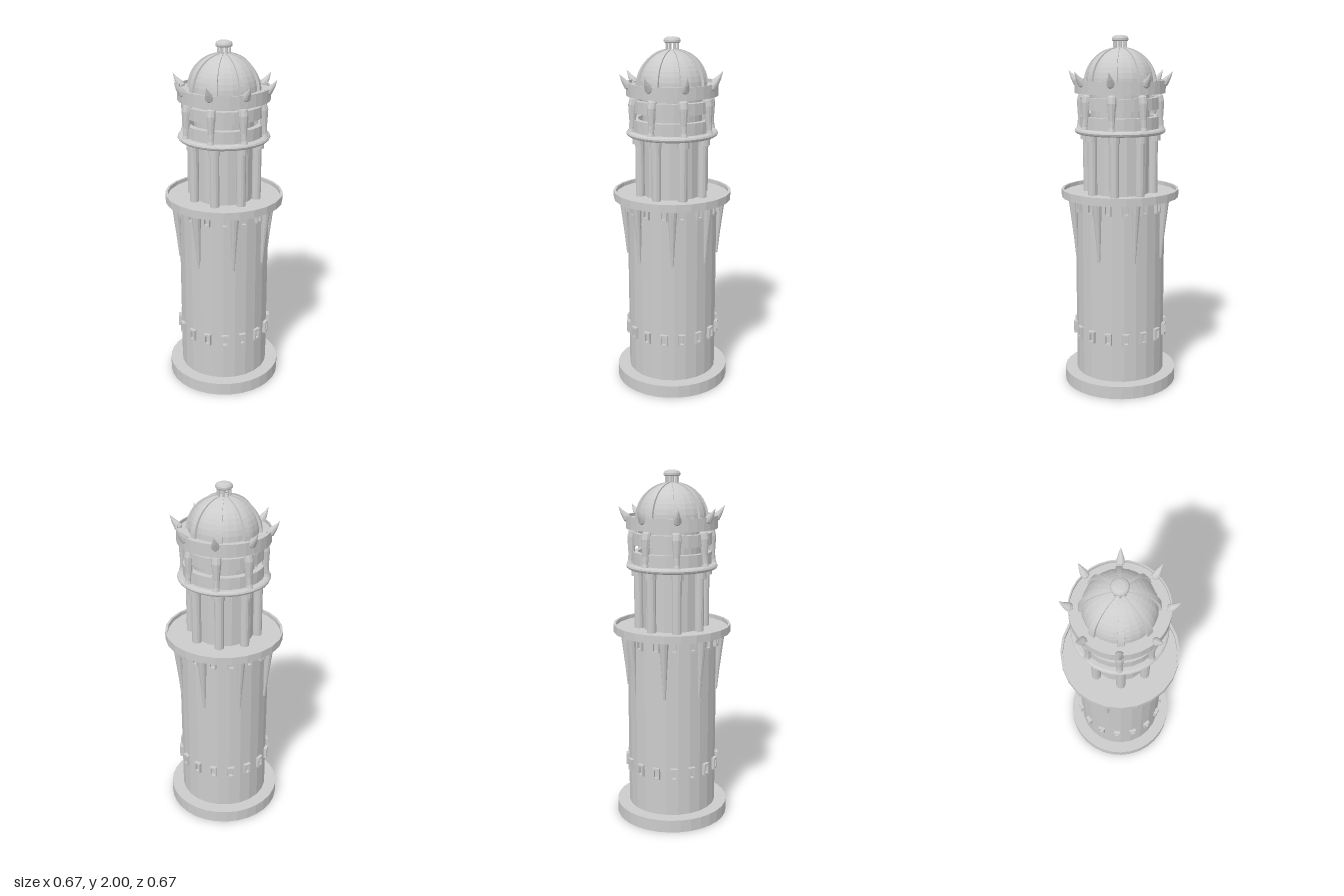
import * as THREE from 'three';

const mat = new THREE.MeshStandardMaterial({ color: 0xcccccc, flatShading: true });

export function createModel() {
  const tower = new THREE.Group();

  const add = (name, geo, parent = tower, x = 0, y = 0, z = 0) => {
    const m = new THREE.Mesh(geo, mat);
    m.name = name;
    m.position.set(x, y, z);
    parent.add(m);
    return m;
  };
  // Solid of revolution from [radius, height] pairs, listed from bottom to top on the outside
  const lathe = (name, pts, seg = 24) =>
    add(name, new THREE.LatheGeometry(pts.map(([r, y]) => new THREE.Vector2(r, y)), seg));
  // Closed rectangular ring
  const ring = (name, ri, ro, y0, y1, seg = 24) =>
    lathe(name, [[ri, y0], [ro, y0], [ro, y1], [ri, y1], [ri, y0]], seg);
  // Repeats a part around the axis; local +z points outward
  const around = (name, count, offsetDeg, build) => {
    for (let i = 0; i < count; i++) {
      const g = new THREE.Group();
      g.name = name;
      g.rotation.y = (offsetDeg * Math.PI) / 180 + (i * 2 * Math.PI) / count;
      build(g);
      tower.add(g);
    }
  };
  // Round tapering limb along [out, height, radius] stations
  const limb = (stations, sides = 10) => {
    const pos = [], idx = [], n = stations.length;
    stations.forEach(([z, y, r], i) => {
      const a = stations[Math.max(i - 1, 0)], b = stations[Math.min(i + 1, n - 1)];
      const len = Math.hypot(b[0] - a[0], b[1] - a[1]);
      const tz = (b[0] - a[0]) / len, ty = (b[1] - a[1]) / len;
      for (let j = 0; j < sides; j++) {
        const t = (j / sides) * Math.PI * 2, s = Math.sin(t) * r;
        pos.push(Math.cos(t) * r, y + tz * s, z - ty * s);
        if (i < n - 1) {
          const k = i * sides + j, l = i * sides + ((j + 1) % sides);
          idx.push(k, l, l + sides, k, l + sides, k + sides);
        }
      }
    });
    const g = new THREE.BufferGeometry();
    g.setAttribute('position', new THREE.Float32BufferAttribute(pos, 3));
    g.setIndex(idx);
    g.computeVertexNormals();
    return g;
  };

  // Base and shaft
  lathe('base', [[0, 0], [0.325, 0], [0.325, 0.073], [0, 0.073]], 32);
  lathe('shaft', [[0, 0.07], [0.255, 0.07], [0.255, 1.12], [0, 1.12]]);

  // Framed windows in two rows
  const frame = new THREE.Shape()
    .moveTo(-0.02, -0.034).lineTo(0.02, -0.034).lineTo(0.02, 0.034).lineTo(-0.02, 0.034).closePath();
  frame.holes.push(new THREE.Path()
    .moveTo(-0.011, -0.023).lineTo(-0.011, 0.023).lineTo(0.011, 0.023).lineTo(0.011, -0.023).closePath());
  const frameGeo = new THREE.ExtrudeGeometry(frame, { depth: 0.027, bevelEnabled: false });
  around('windows', 16, -5.6, (g) => {
    add('lowerWindowFrame', frameGeo, g, 0, 0.326, 0.245);
    add('upperWindowFrame', frameGeo, g, 0, 1.07, 0.245);
  });

  // Tapering brackets under the gallery
  const bracketGeo = limb([[0.257, 0.768, 0], [0.257, 0.77, 0.007], [0.262, 0.88, 0.013],
    [0.27, 1.0, 0.02], [0.277, 1.11, 0.027], [0.277, 1.112, 0]]);
  around('bracket', 8, 27.5, (g) => add('bracket', bracketGeo, g));

  // Gallery with a raised rim
  lathe('gallery', [[0, 1.106], [0.333, 1.106], [0.333, 1.15], [0.32, 1.15], [0.32, 1.128], [0, 1.128]]);

  // Colonnade
  lathe('colonnadeCore', [[0, 1.12], [0.168, 1.12], [0.168, 1.47], [0, 1.47]], 16);
  const columnGeo = new THREE.CylinderGeometry(0.026, 0.026, 0.31, 12);
  const capitalGeo = new THREE.CylinderGeometry(0.033, 0.033, 0.042, 12);
  around('column', 8, 0, (g) => {
    add('columnShaft', columnGeo, g, 0, 1.275, 0.188);
    add('columnCapital', capitalGeo, g, 0, 1.446, 0.195);
  });

  // Balcony with a rounded lip
  lathe('balcony', [[0, 1.464], [0.243, 1.464], [0.252, 1.47], [0.256, 1.479],
    [0.252, 1.488], [0.243, 1.494], [0, 1.494]], 32);

  // Open belfry: inner core, two encircling walls and bowed posts
  lathe('belfryCore', [[0, 1.49], [0.165, 1.49], [0.165, 1.69], [0, 1.69]]);
  ring('belfryParapet', 0.19, 0.222, 1.49, 1.56);
  ring('belfryTopBand', 0.19, 0.222, 1.6, 1.665);
  const postGeo = limb([[0.232, 1.49, 0], [0.232, 1.491, 0.02], [0.23, 1.51, 0.016], [0.225, 1.55, 0.018],
    [0.224, 1.6, 0.022], [0.222, 1.64, 0.026], [0.215, 1.67, 0.025], [0.21, 1.69, 0.015], [0.21, 1.695, 0]]);
  around('belfryPost', 8, -2, (g) => add('belfryPost', postGeo, g));

  // Crown band with outward horns
  lathe('crownBand', [[0, 1.687], [0.254, 1.687], [0.254, 1.757], [0.247, 1.757], [0.247, 1.74], [0, 1.74]], 32);
  const hornGeo = limb([[0.236, 1.722, 0], [0.239, 1.727, 0.014], [0.246, 1.74, 0.023], [0.257, 1.756, 0.02],
    [0.272, 1.773, 0.013], [0.284, 1.791, 0.006], [0.294, 1.808, 0]]);
  around('horn', 8, -2, (g) => add('horn', hornGeo, g));

  // Dome
  const R = 0.19, domeY = 1.742;
  const dome = add('dome', new THREE.SphereGeometry(R, 24, 10, 0, Math.PI * 2, 0, Math.PI / 2));
  dome.position.y = domeY;

  // Ribs bent over the dome, narrowing toward the top
  const ribGeo = new THREE.BoxGeometry(1, 1, 1, 1, 12, 1);
  const p = ribGeo.attributes.position;
  for (let i = 0; i < p.count; i++) {
    const u = p.getY(i) + 0.5, phi = u * 1.4;
    const r = R - 0.008 + (p.getZ(i) + 0.5) * (0.021 - 0.009 * u);
    p.setXYZ(i, p.getX(i) * (0.038 - 0.027 * u), r * Math.sin(phi), r * Math.cos(phi));
  }
  ribGeo.computeVertexNormals();
  around('domeRib', 8, 0, (g) => add('domeRib', ribGeo, g, 0, domeY, 0));

  // Small open lantern on top
  const pinGeo = new THREE.CylinderGeometry(0.006, 0.006, 0.055, 8);
  around('finialPost', 8, 0, (g) => add('finialPost', pinGeo, g, 0, 1.947, 0.033));
  lathe('finialCap', [[0, 1.967], [0.042, 1.967], [0.046, 1.972], [0.046, 1.982],
    [0.04, 1.992], [0.025, 1.998], [0, 2]], 16);

  return tower;
}
